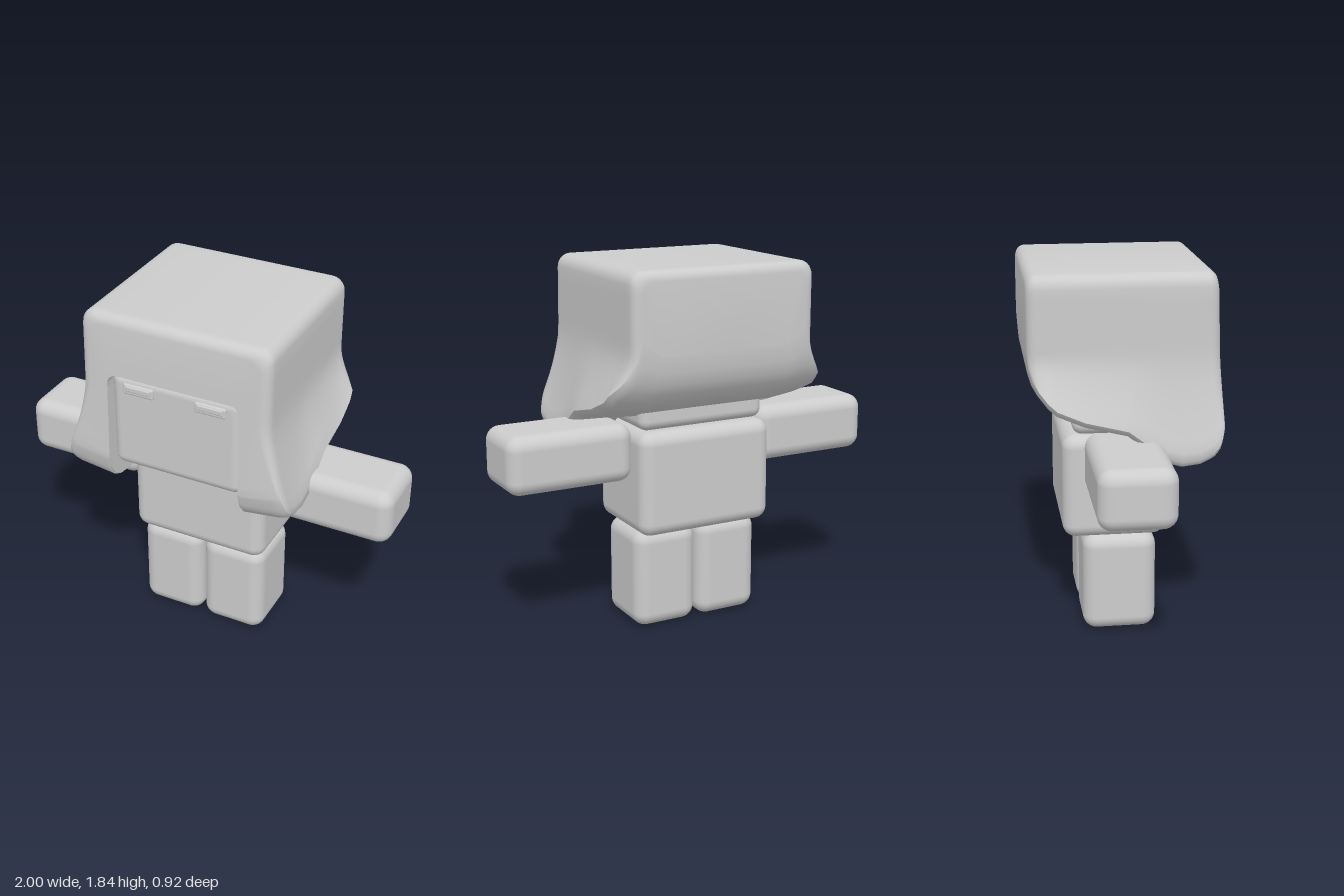
import * as THREE from 'three';
import { RoundedBoxGeometry } from 'three/addons/geometries/RoundedBoxGeometry.js';
import { toCreasedNormals } from 'three/addons/utils/BufferGeometryUtils.js';

const grey = new THREE.MeshStandardMaterial({ color: 0xcccccc });
grey.name = 'light grey';

// Rounded block given by its limits on each axis
function block(name, [x0, x1], [y0, y1], [z0, z1], r) {
  const mesh = new THREE.Mesh(new RoundedBoxGeometry(x1 - x0, y1 - y0, z1 - z0, 5, r), grey);
  mesh.position.set((x0 + x1) / 2, (y0 + y1) / 2, (z0 + z1) / 2);
  mesh.name = name;
  return mesh;
}

// Lower edge of the hair as [z, y], back to front
const HEM = [[-0.46, 1.45], [-0.453, 1.36], [-0.435, 1.3], [-0.4, 1.235], [-0.33, 1.17], [-0.2, 1.115],
  [0, 1.065], [0.08, 1.0], [0.16, 0.93], [0.24, 0.905], [0.32, 0.915], [0.38, 0.945], [0.415, 0.99], [0.435, 1.07]];
function hemAt(z) {
  let i = 1;
  while (i < HEM.length - 1 && z > HEM[i][0]) i++;
  const [a, b] = [HEM[i - 1], HEM[i]];
  return THREE.MathUtils.lerp(a[1], b[1], THREE.MathUtils.clamp((z - a[0]) / (b[0] - a[0]), 0, 1));
}

const TOP = 1.84, BACK = -0.46, FRONT = 0.435, R = 0.05, SIDE = 12, ARC = 5;

// One arch-shaped slice of the hair: outer line and inner line, right half
function halfSlice(z) {
  const hem = hemAt(z);
  const d = Math.min(z - BACK, FRONT - z, R);
  const inset = R - Math.sqrt(Math.max(0, R * R - (R - d) ** 2));
  const flareFade = Math.min(1, (z - BACK) / 0.08);
  const half = (y) => {
    const s = THREE.MathUtils.clamp((1.45 - y) / Math.max(0.05, 1.45 - hem) / 0.82, 0, 1);
    return 0.487 - inset + 0.103 * flareFade * s ** 1.35;
  };
  const hollow = z > -0.245;
  const ceiling = hollow ? 1.54 : hem, innerX = 0.345, r = 0.065, ri = hollow ? 0.05 : 0;
  const outer = [], inner = [];
  const low = hem + 0.06, high = TOP - inset - r;
  outer.push([half(low) - 0.05, hem + 0.025], [half(low) - 0.015, hem + 0.037]);
  inner.push([innerX + 0.01, hem], [innerX + 0.008, hem + (hollow ? 0.01 : 0)]);
  for (let i = 0; i <= SIDE; i++) {
    const t = i / SIDE, y = low + (high - low) * t ** 1.2;
    outer.push([half(y), y]);
    inner.push([innerX, hem + (ceiling - ri - hem) * (hollow ? 0.02 + 0.98 * t : 0)]);
  }
  for (let i = 1; i <= ARC; i++) {
    const a = (i / ARC) * Math.PI / 2, c = 1 - Math.cos(a), s = Math.sin(a);
    outer.push([half(TOP) - r * c, high + r * s]);
    inner.push([innerX - ri * c, ceiling - ri + ri * s]);
  }
  outer.push([0, TOP - inset]);
  inner.push([0, ceiling]);
  return [outer, inner];
}

// Hair: slices joined from back to front, open over the face
function makeHair() {
  const zs = [];
  for (let i = 0; i <= 6; i++) zs.push(BACK + R * (1 - Math.cos(i / 6 * Math.PI / 2)));
  zs.push(-0.37, -0.33, -0.28, -0.25, -0.24);
  for (let z = -0.2; z < 0.37; z += 0.04) zs.push(z);
  for (let i = 6; i >= 0; i--) zs.push(FRONT - R * (1 - Math.cos(i / 6 * Math.PI / 2)));

  const mirror = (line) => [...line, ...line.slice(0, -1).reverse().map(([x, y]) => [-x, y])];
  const pos = [], index = [];
  let m = 0;
  for (const z of zs) {
    const [outer, inner] = halfSlice(z).map(mirror);
    m = outer.length;
    for (const [x, y] of [...outer, ...inner.reverse()]) {
      // The front leans forward towards the tips
      const lean = 0.026 * Math.min(1, (TOP - y) / 0.75) * Math.max(0, z / FRONT);
      pos.push(x, y, z + lean);
    }
  }
  const n = 2 * m;
  for (let k = 0; k < zs.length - 1; k++) {
    for (let i = 0; i < n; i++) {
      const a = k * n + i, b = k * n + (i + 1) % n;
      index.push(a, b, a + n, b, b + n, a + n);
    }
  }
  // End faces between the outer and inner lines
  const f = (zs.length - 1) * n;
  for (let i = 0; i < m - 1; i++) {
    const p = i, q = i + 1, u = n - 1 - i, v = n - 2 - i;
    index.push(f + p, f + q, f + u, f + q, f + v, f + u);
    index.push(p, u, q, q, u, v);
  }
  const geo = new THREE.BufferGeometry();
  geo.setAttribute('position', new THREE.Float32BufferAttribute(pos, 3));
  geo.setIndex(index);
  const mesh = new THREE.Mesh(toCreasedNormals(geo, 0.75), grey);
  mesh.name = 'hair';
  return mesh;
}

export function createModel() {
  const model = new THREE.Group();
  model.name = 'blockFigure';
  model.add(
    block('torso', [-0.362, 0.362], [0.51, 1.035], [-0.29, 0.22], 0.065),
    block('head', [-0.342, 0.342], [1.035, 1.545], [-0.24, 0.425], 0.05),
    makeHair(),
  );
  for (const s of [1, -1]) {
    const side = s > 0 ? 'left' : 'right';
    const span = (a, b) => (s > 0 ? [a, b] : [-b, -a]);
    model.add(
      block(side + 'Leg', span(0.006, 0.344), [0, 0.512], [-0.19, 0.175], 0.07),
      block(side + 'Arm', span(0.352, 1), [0.78, 1.07], [-0.19, 0.175], 0.07),
      block(side + 'Eye', span(0.108, 0.268), [1.45, 1.504], [0.415, 0.437], 0.01),
      block(side + 'EyeCentre', span(0.122, 0.254), [1.468, 1.496], [0.425, 0.442], 0.006),
    );
  }
  return model;
}
